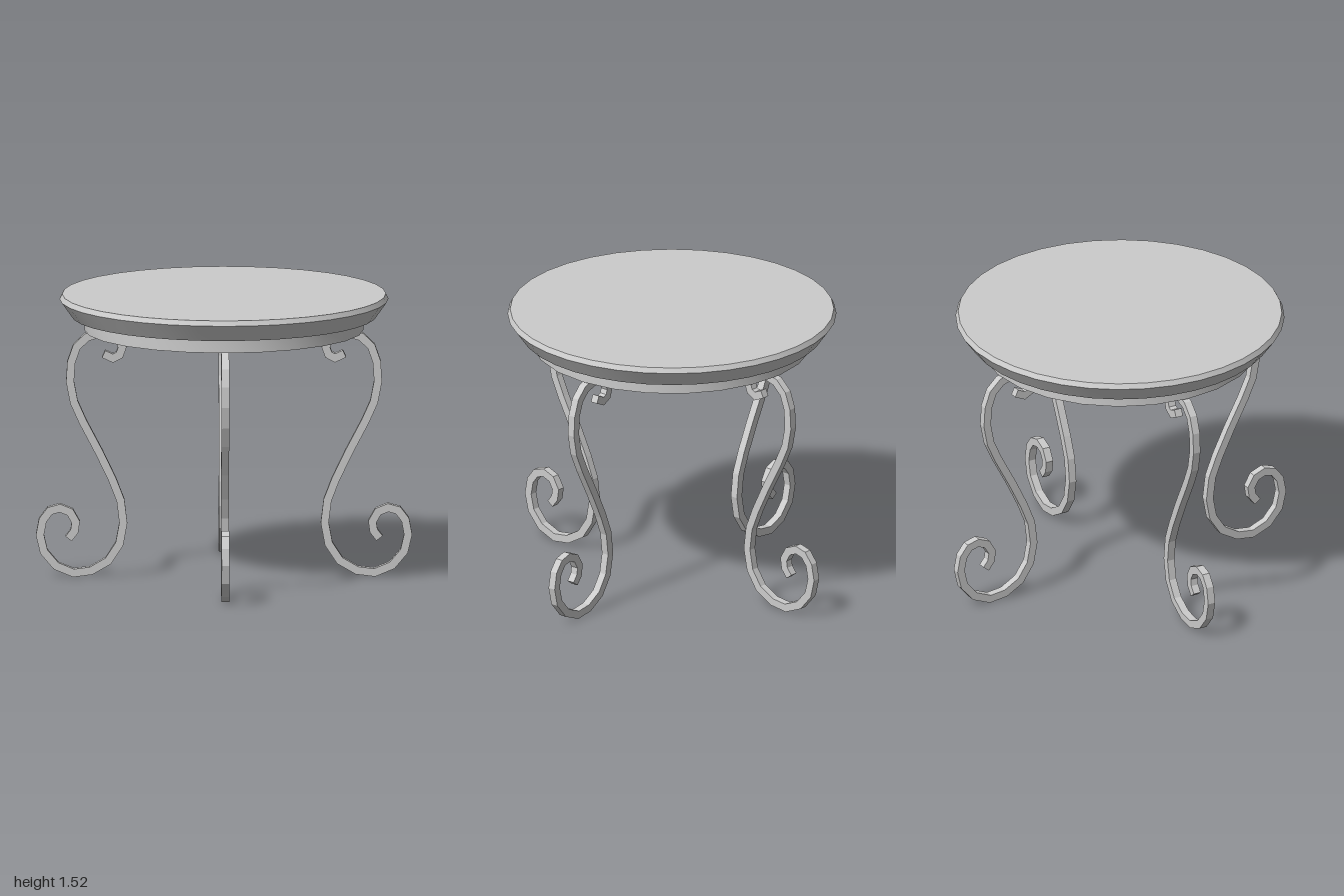
import * as THREE from 'three';
import { toCreasedNormals } from 'three/addons/utils/BufferGeometryUtils.js';

const material = new THREE.MeshStandardMaterial({ color: 0xcccccc });

// Centre line of one scrolled leg (outward distance, height), from upper curl to foot curl
const LEG_PATH = [
  [0.64, 1.205], [0.59, 1.182], [0.555, 1.2], [0.541, 1.24], [0.557, 1.283], [0.6, 1.308],
  [0.663, 1.315], [0.73, 1.295], [0.783, 1.243], [0.812, 1.16], [0.818, 1.055], [0.797, 0.945],
  [0.75, 0.84], [0.663, 0.674], [0.594, 0.53], [0.55, 0.417], [0.535, 0.294], [0.556, 0.18],
  [0.615, 0.09], [0.706, 0.037], [0.8, 0.025], [0.893, 0.064], [0.957, 0.14], [0.978, 0.23],
  [0.963, 0.31], [0.925, 0.36], [0.872, 0.375], [0.818, 0.353], [0.788, 0.3], [0.795, 0.25],
  [0.826, 0.21],
].map(([x, y]) => new THREE.Vector2(x, y));

const BAR = 0.042; // square bar thickness

// Offset a polyline sideways with mitred corners
function offsetPath(path, distance) {
  return path.map((p, i) => {
    const before = path[Math.max(i - 1, 0)];
    const after = path[Math.min(i + 1, path.length - 1)];
    const d1 = (i > 0 ? p.clone().sub(before) : after.clone().sub(p)).normalize();
    const d2 = (i < path.length - 1 ? after.clone().sub(p) : p.clone().sub(before)).normalize();
    const tangent = d1.clone().add(d2).normalize();
    const reach = distance / tangent.dot(d1);
    return new THREE.Vector2(p.x - tangent.y * reach, p.y + tangent.x * reach);
  });
}

function legGeometry() {
  const outline = [...offsetPath(LEG_PATH, BAR / 2), ...offsetPath(LEG_PATH, -BAR / 2).reverse()];
  const geometry = new THREE.ExtrudeGeometry(new THREE.Shape(outline), {
    depth: BAR, bevelEnabled: false,
  });
  return geometry.translate(0, 0, -BAR / 2);
}

// Closed disc turned from a profile, with crisp rims
function turnedDisc(name, profile, sides) {
  const points = profile.map(([r, y]) => new THREE.Vector2(r, y));
  const geometry = toCreasedNormals(new THREE.LatheGeometry(points, sides), Math.PI / 7);
  const mesh = new THREE.Mesh(geometry, material);
  mesh.name = name;
  return mesh;
}

export function createModel() {
  const table = new THREE.Group();
  table.name = 'roundTable';

  // Bevelled top and the apron below it
  table.add(turnedDisc('tableTop',
    [[0, 1.41], [0.81, 1.41], [0.874, 1.5], [0.86, 1.527], [0, 1.527]], 36));
  table.add(turnedDisc('apron',
    [[0, 1.333], [0.742, 1.333], [0.742, 1.41], [0, 1.41]], 24));

  // Four scrolled legs around the centre
  const geometry = legGeometry();
  ['leftLeg', 'backLeg', 'rightLeg', 'frontLeg'].forEach((name, i) => {
    const leg = new THREE.Mesh(geometry, material);
    leg.name = name;
    leg.rotation.y = i * Math.PI / 2;
    table.add(leg);
  });
  return table;
}
